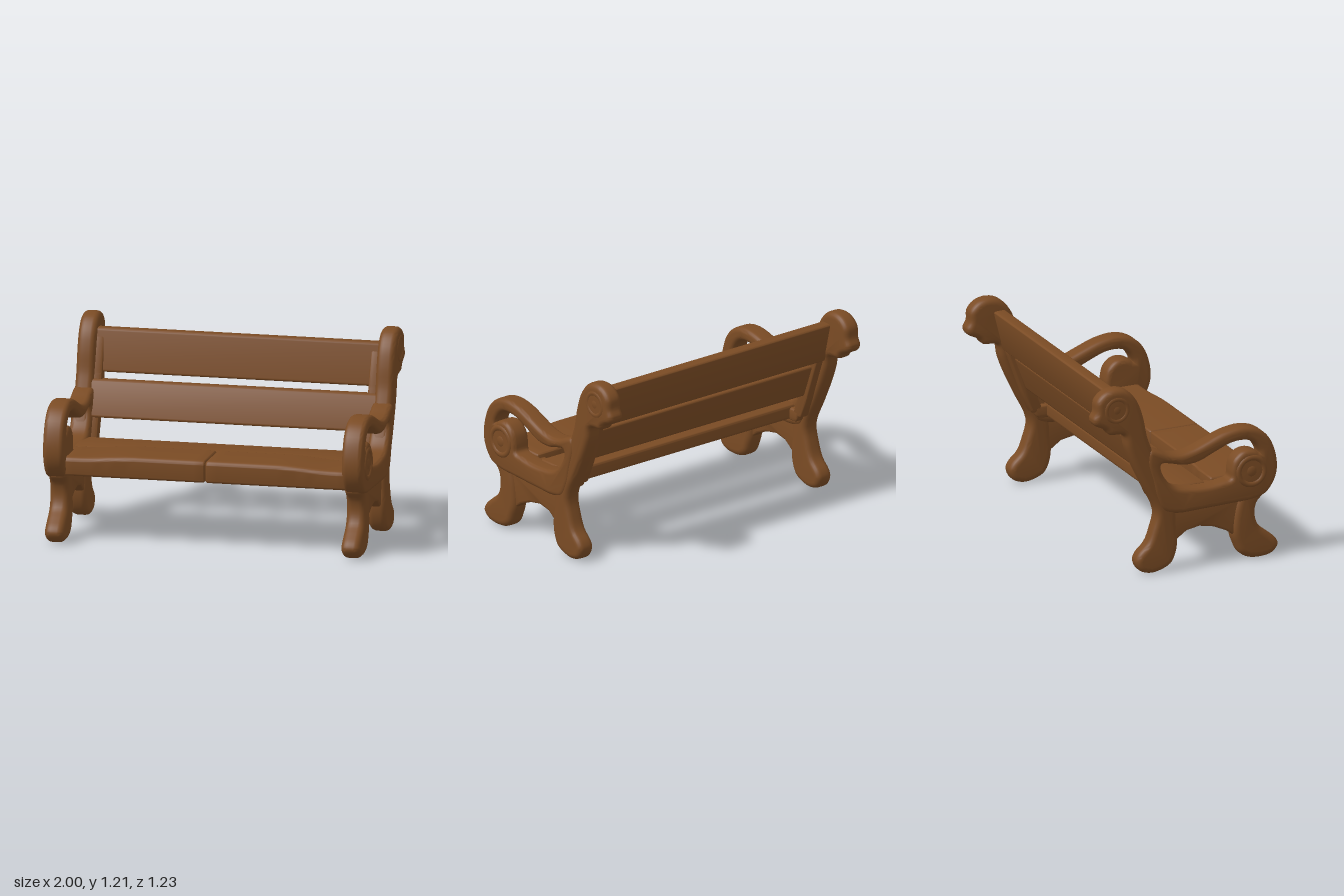
import * as THREE from 'three';
import { toCreasedNormals, mergeVertices } from 'three/addons/utils/BufferGeometryUtils.js';

// Smooth closed loop through [z, y] points
function smoothLoop(pts) {
  const curve = new THREE.CatmullRomCurve3(pts.map(([z, y]) => new THREE.Vector3(z, y, 0)), true, 'centripetal');
  return curve.getPoints(pts.length * 4).slice(0, -1).map((p) => new THREE.Vector2(p.x, p.y));
}
const straightLoop = (pts) => pts.map(([z, y]) => new THREE.Vector2(z, y));

// Extrude a [z, y] side profile across x0..x1 with rounded edges
function profile(loop, x0, x1, bevel, { hole, steps = 1, deform } = {}) {
  const shape = new THREE.Shape(loop);
  if (hole) shape.holes.push(new THREE.Path(hole));
  let geo = new THREE.ExtrudeGeometry(shape, {
    depth: x1 - x0 - 2 * bevel, steps, bevelEnabled: true, bevelSegments: 5,
    bevelSize: bevel, bevelThickness: bevel, bevelOffset: -bevel,
  });
  geo.rotateY(-Math.PI / 2);
  geo.translate(x1 - bevel, 0, 0);
  if (deform) {
    const p = geo.attributes.position;
    for (let i = 0; i < p.count; i++) p.setY(i, deform(p.getX(i), p.getY(i), p.getZ(i)));
  }
  geo.deleteAttribute('uv');
  geo.deleteAttribute('normal');
  geo = mergeVertices(geo, 1e-4);
  return toCreasedNormals(geo, 0.75);
}

// Round the corners of a polygon
function roundedLoop(pts, r) {
  const out = [];
  const v = straightLoop(pts);
  v.forEach((p, i) => {
    const a = v[(i + v.length - 1) % v.length].clone().sub(p).setLength(r).add(p);
    const b = v[(i + 1) % v.length].clone().sub(p).setLength(r).add(p);
    out.push(...new THREE.QuadraticBezierCurve(a, p, b).getPoints(5));
  });
  return out;
}

const FRONT_LEG = [
  [0.62, 0.07], [0.58, 0.02], [0.5, 0.003], [0.417, 0.013], [0.367, 0.046], [0.34, 0.1], [0.318, 0.17],
  [0.325, 0.28], [0.345, 0.37], [0.38, 0.45], [0.5, 0.45], [0.526, 0.412], [0.479, 0.356], [0.466, 0.283],
  [0.489, 0.21], [0.549, 0.158], [0.605, 0.109],
];
const BACK_POST = [
  [-0.05, 0.19], [-0.064, 0.105], [-0.097, 0.046], [-0.163, 0.013], [-0.232, 0.003], [-0.298, 0.026],
  [-0.325, 0.086], [-0.308, 0.13], [-0.25, 0.19], [-0.216, 0.273], [-0.193, 0.385], [-0.275, 0.563],
  [-0.348, 0.718], [-0.387, 0.824], [-0.404, 0.903], [-0.44, 0.916], [-0.5, 0.923], [-0.532, 0.959],
  [-0.598, 0.995], [-0.611, 1.03], [-0.59, 1.074], [-0.585, 1.14], [-0.539, 1.19], [-0.473, 1.21],
  [-0.39, 1.193], [-0.321, 1.12], [-0.278, 1.008], [-0.252, 0.883], [-0.229, 0.817], [-0.195, 0.73],
  [-0.163, 0.652], [-0.124, 0.57], [-0.085, 0.47], [-0.065, 0.38], [-0.06, 0.28],
];
const APRON = [
  [0.42, 0.18], [0.318, 0.17], [0.278, 0.2], [0.193, 0.237], [0.1, 0.254], [0.015, 0.237], [-0.05, 0.19],
  [-0.13, 0.18], [-0.14, 0.42], [0.42, 0.42],
];
const ARM = [
  [-0.24, 0.79], [-0.183, 0.778], [-0.11, 0.748], [-0.035, 0.738], [0.054, 0.755], [0.153, 0.794],
  [0.269, 0.837], [0.384, 0.852], [0.483, 0.827], [0.555, 0.761], [0.598, 0.652], [0.605, 0.554],
  [0.582, 0.481], [0.526, 0.412], [0.44, 0.385], [0.3, 0.377], [0.1, 0.368], [-0.06, 0.365],
  [-0.15, 0.39], [-0.2, 0.48], [-0.23, 0.6], [-0.26, 0.72],
];
const ARM_HOLE = [
  [0.49, 0.675], [0.463, 0.728], [0.423, 0.761], [0.377, 0.771], [0.302, 0.764], [0.186, 0.718],
  [0.087, 0.675], [-0.012, 0.666], [-0.11, 0.689], [-0.16, 0.692], [-0.163, 0.652], [-0.124, 0.58],
  [-0.07, 0.534], [0.005, 0.514], [0.137, 0.507], [0.245, 0.52], [0.298, 0.534], [0.305, 0.586],
  [0.321, 0.646], [0.367, 0.692], [0.417, 0.702], [0.46, 0.692],
];

export function createModel() {
  const bench = new THREE.Group();
  bench.name = 'bench';
  const wood = new THREE.MeshStandardMaterial({ color: 0x7a4b24 });
  wood.name = 'brown wood';
  const add = (name, geo, parent = bench) => {
    const mesh = new THREE.Mesh(geo, wood);
    mesh.name = name;
    parent.add(mesh);
    return mesh;
  };

  // Two matching end frames
  for (const side of [1, -1]) {
    const frame = new THREE.Group();
    frame.name = side > 0 ? 'leftFrame' : 'rightFrame';
    bench.add(frame);
    const span = (a, b) => (side > 0 ? [a, b] : [-b, -a]);
    const part = (name, loop, a, b, bevel, opts) => add(name, profile(loop, ...span(a, b), bevel, opts), frame);

    part('frontLeg', smoothLoop(FRONT_LEG), 0.86, 0.98, 0.04);
    part('backPost', smoothLoop(BACK_POST), 0.872, 0.985, 0.035);
    part('apron', straightLoop(APRON), 0.885, 0.958, 0.015);
    part('armrest', smoothLoop(ARM), 0.863, 0.992, 0.03, { hole: smoothLoop(ARM_HOLE) });

    // Ledges inside the frame that carry the slats
    part('seatLedge', roundedLoop([[0.5, 0.42], [0.5, 0.5], [-0.2, 0.5], [-0.17, 0.42]], 0.03), 0.825, 0.9, 0.015);
    part('backLedge', roundedLoop([[-0.13, 0.46], [-0.2, 0.65], [-0.28, 0.87], [-0.35, 1.09],
      [-0.4, 1.08], [-0.365, 0.86], [-0.27, 0.6], [-0.21, 0.46]], 0.02), 0.825, 0.9, 0.015);

    // Carved scroll rings and their centres
    for (const [name, x, y, z, r] of [['armScroll', 0.978, 0.57, 0.43, 0.085], ['topScroll', 0.968, 1.08, -0.46, 0.07]]) {
      const ring = add(name + 'Ring', new THREE.TorusGeometry(r, 0.022, 10, 32), frame);
      ring.rotation.y = Math.PI / 2;
      ring.position.set(side * x, y, z);
      const boss = add(name + 'Centre', new THREE.SphereGeometry(0.045, 20, 12), frame);
      boss.scale.x = 0.45;
      boss.position.set(side * x, y, z);
    }
  }

  // Front seat board in two halves, swelling towards the middle
  const swell = (x, y) => (y > 0.48 ? y + 0.02 * (1 - THREE.MathUtils.smoothstep(Math.abs(x), 0.45, 0.8)) : y);
  const frontBoard = roundedLoop([[0.2, 0.42], [0.2, 0.528], [0.51, 0.535], [0.532, 0.515], [0.525, 0.418]], 0.014);
  for (const [name, a, b] of [['frontBoardLeft', 0, 0.89], ['frontBoardRight', -0.89, 0]]) {
    add(name, profile(frontBoard, a, b, 0.018, { steps: 16, deform: swell }));
  }
  add('frontBoardJoint', new THREE.BoxGeometry(0.06, 0.07, 0.28)).position.set(0, 0.475, 0.365);

  // Rear seat board and the two leaning back boards
  const boards = {
    rearSeatBoard: [[0.16, 0.425], [0.16, 0.515], [-0.11, 0.515], [-0.11, 0.425]],
    lowerBackBoard: [[-0.168, 0.618], [-0.25, 0.838], [-0.325, 0.832], [-0.243, 0.615]],
    upperBackBoard: [[-0.298, 0.873], [-0.362, 1.132], [-0.442, 1.128], [-0.378, 0.87]],
  };
  for (const [name, pts] of Object.entries(boards)) {
    add(name, profile(roundedLoop(pts, 0.018), -0.9, 0.9, 0.012));
  }
  return bench;
}
